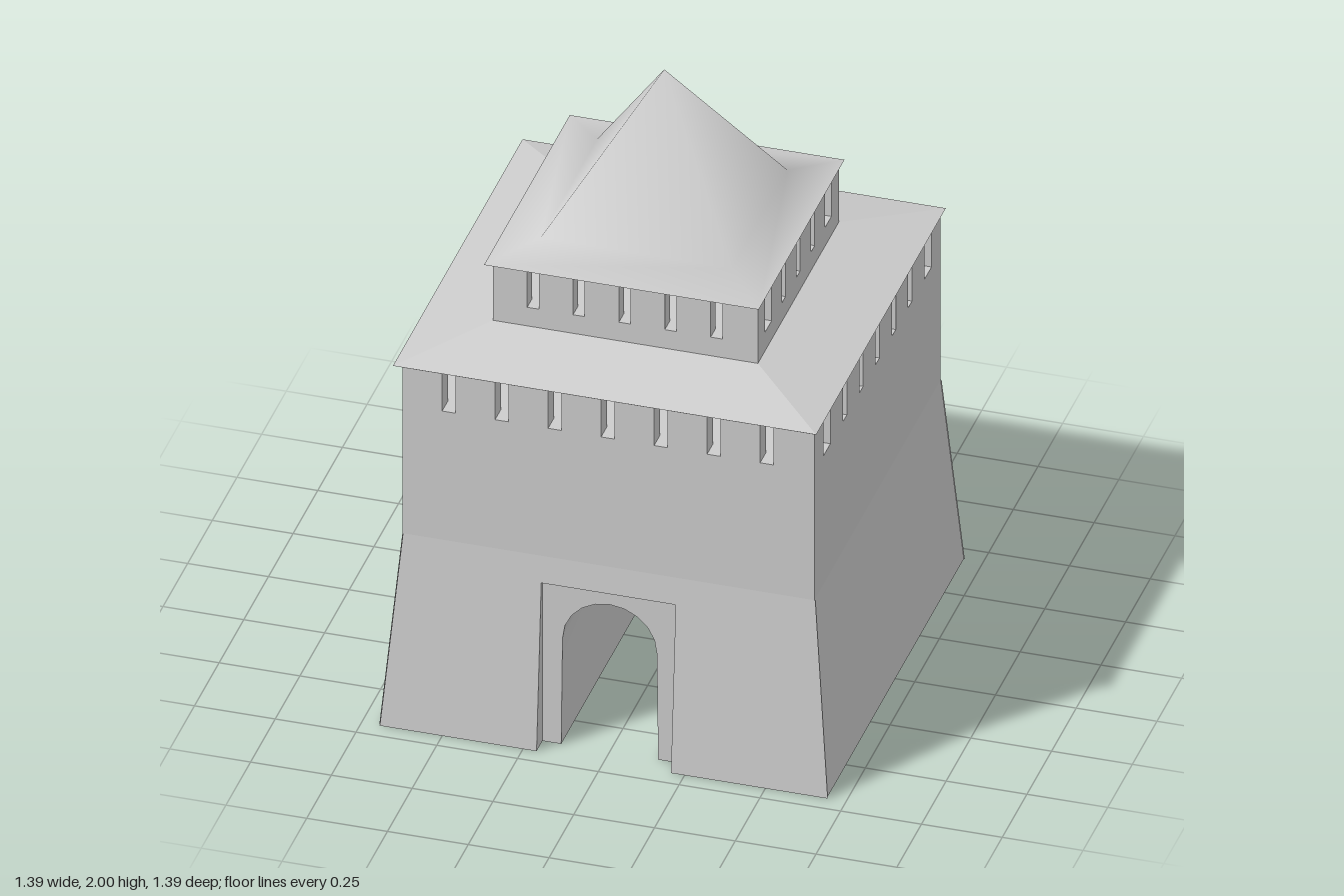
import * as THREE from 'three';
import { mergeVertices } from 'three/addons/utils/BufferGeometryUtils.js';

const material = new THREE.MeshStandardMaterial({ color: 0xcccccc, side: THREE.DoubleSide });

function add(parent, name, geometry) {
  const mesh = new THREE.Mesh(geometry, material);
  mesh.name = name;
  parent.add(mesh);
  return mesh;
}

// Flat-sided geometry from a list of four-cornered faces
function quads(faces) {
  const pos = [];
  for (const [a, b, c, d] of faces) pos.push(...a, ...b, ...c, ...a, ...c, ...d);
  const g = new THREE.BufferGeometry();
  g.setAttribute('position', new THREE.Float32BufferAttribute(pos, 3));
  g.computeVertexNormals();
  return g;
}

// Rectangle at height y, corners counterclockwise from above
const ring = (y, x0, x1, z0, z1) => [[x0, y, z1], [x1, y, z1], [x1, y, z0], [x0, y, z0]];

// Walls through a stack of rectangles, on the chosen sides, with optional caps
function loft(rings, { sides = [0, 1, 2, 3], top = false, bottom = false } = {}) {
  const faces = [];
  for (let r = 0; r + 1 < rings.length; r++) {
    for (const i of sides) {
      const j = (i + 1) % 4;
      faces.push([rings[r][i], rings[r][j], rings[r + 1][j], rings[r + 1][i]]);
    }
  }
  if (top) faces.push(rings[rings.length - 1]);
  if (bottom) faces.push([...rings[0]].reverse());
  return quads(faces);
}

// Row of blocks left between the slots of one parapet wall
function merlons(parent, name, from, to, slots, y0, y1, across, thick, alongZ) {
  let start = from;
  for (const [centre, width] of [...slots, [to, 0]]) {
    const end = centre - width / 2;
    const len = end - start;
    const box = new THREE.BoxGeometry(alongZ ? thick : len, y1 - y0, alongZ ? len : thick);
    const mid = (start + end) / 2;
    box.translate(alongZ ? across : mid, (y0 + y1) / 2, alongZ ? mid : across);
    add(parent, name, box);
    start = centre + width / 2;
  }
}

// Four parapet walls around a rectangle
function parapet(name, x0, x1, z, y0, y1, thick, slotsX, slotsZ) {
  const group = new THREE.Group();
  group.name = name;
  const h = thick / 2;
  for (const s of [1, -1]) merlons(group, 'merlon', x0, x1, slotsX, y0, y1, s * (z - h), thick, false);
  for (const x of [x0 + h, x1 - h]) merlons(group, 'merlon', -z + thick, z - thick, slotsZ, y0, y1, x, thick, true);
  return group;
}

export function createModel() {
  const tower = new THREE.Group();
  tower.name = 'gateTower';

  // Main body: battered base, open below, and straight upper walls
  const foot = ring(0, -0.695, 0.69, -0.695, 0.695);
  const bend = ring(0.65, -0.64, 0.635, -0.64, 0.64);
  const deck = ring(1.1, -0.64, 0.635, -0.64, 0.64);
  add(tower, 'baseSideWalls', loft([foot, bend], { sides: [1, 3] }));
  add(tower, 'upperWalls', loft([bend, deck], { top: true }));

  // Arched passage outline
  const arch = [[-0.15, 0]];
  for (let i = 0; i <= 10; i++) {
    const a = Math.PI * (1 - i / 10);
    arch.push([0.146 * Math.cos(a), 0.37 + 0.145 * Math.sin(a)]);
  }
  arch.push([0.15, 0]);

  // Gate walls, front and back
  const slope = y => 0.695 - 0.055 * y / 0.65;
  const L = -0.208, R = 0.208, T = 0.56, inner = 0.635;
  const points = list => list.map(([x, y]) => new THREE.Vector2(x, y));
  for (const [label, turn] of [['front', 0], ['back', Math.PI]]) {
    const gate = new THREE.Group();
    gate.name = label + 'Gate';
    gate.rotation.y = turn;
    tower.add(gate);

    const wall = new THREE.ShapeGeometry(new THREE.Shape(points([
      [-0.693, 0], [L, 0], [L, T], [R, T], [R, 0], [0.693, 0], [0.638, 0.65], [-0.638, 0.65],
    ])));
    const p = wall.attributes.position;
    for (let i = 0; i < p.count; i++) p.setZ(i, slope(p.getY(i)));
    wall.computeVertexNormals();
    add(gate, 'baseWall', wall);

    const panel = new THREE.ShapeGeometry(new THREE.Shape(points([...arch, [R, 0], [R, T], [L, T], [L, 0]])));
    add(gate, 'archPanel', panel.translate(0, 0, inner));

    const jamb = x => [[x, 0, inner], [x, T, inner], [x, T, slope(T)], [x, 0, slope(0)]];
    add(gate, 'recessSides', quads([
      jamb(L), jamb(R).reverse(),
      [[L, T, inner], [R, T, inner], [R, T, slope(T)], [L, T, slope(T)]],
    ]));
  }

  // Passage through the tower
  const pos = [], index = [];
  arch.forEach(([x, y], i) => {
    pos.push(x, y, inner, x, y, -inner);
    const f = 2 * i;
    if (i + 1 < arch.length) index.push(f, f + 1, f + 3, f, f + 3, f + 2);
  });
  const passage = new THREE.BufferGeometry();
  passage.setAttribute('position', new THREE.Float32BufferAttribute(pos, 3));
  passage.setIndex(index);
  passage.computeVertexNormals();
  add(tower, 'passage', passage);

  // Main parapet and its low roof
  const mainX = [-3, -2, -1, 0, 1, 2, 3].map(i => [i * 0.164 - 0.004, 0.042]);
  const mainZ = [[-0.513, 0.07], ...[-2, -1, 0, 1, 2].map(i => [i * 0.165, 0.04]), [0.513, 0.07]];
  tower.add(parapet('mainParapet', -0.64, 0.635, 0.64, 1.1, 1.24, 0.06, mainX, mainZ));
  add(tower, 'lowerRoof', loft([
    ring(1.24, -0.665, 0.645, -0.66, 0.655),
    ring(1.295, -0.43, 0.39, -0.41, 0.41),
  ], { bottom: true, top: true }));

  // Lookout storey
  add(tower, 'lookoutWalls', loft([
    ring(1.29, -0.43, 0.39, -0.41, 0.41),
    ring(1.36, -0.43, 0.39, -0.41, 0.41),
  ], { top: true }));
  const topX = [-2, -1, 0, 1, 2].map(i => [i * 0.142 - 0.022, 0.036]);
  const topZ = [[-0.303, 0.065], [-0.148, 0.036], [0, 0.036], [0.148, 0.036], [0.303, 0.065]];
  tower.add(parapet('lookoutParapet', -0.43, 0.39, 0.41, 1.36, 1.497, 0.05, topX, topZ));

  // Flared tent roof with soft shading, and its flat underside
  const eave = ring(1.5, -0.45, 0.4, -0.435, 0.435);
  const tent = loft([eave, ring(1.53, -0.32, 0.27, -0.285, 0.285), ring(2, -0.025, -0.025, 0, 0)]);
  tent.deleteAttribute('normal');
  const smoothTent = mergeVertices(tent);
  smoothTent.computeVertexNormals();
  add(tower, 'tentRoof', smoothTent);
  add(tower, 'eaveUnderside', quads([[...eave].reverse()]));

  return tower;
}
